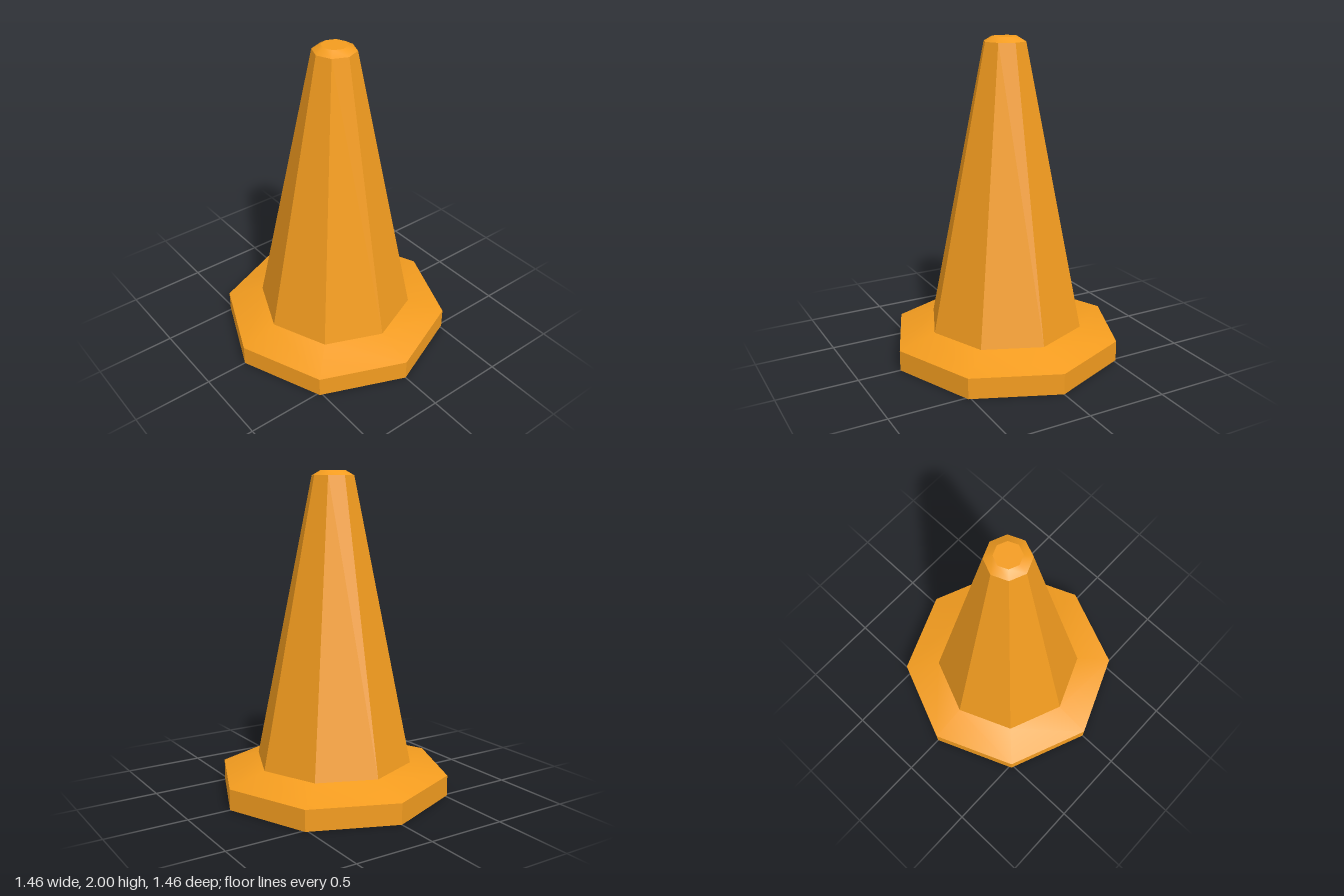
import * as THREE from 'three';
import { toCreasedNormals } from 'three/addons/utils/BufferGeometryUtils.js';

const SIDES = 8;
const material = new THREE.MeshStandardMaterial({ color: 0xf39c1f });

// Turns a [radius, height] profile into an eight-sided part
function turned(name, profile) {
  const points = profile.map(([r, y]) => new THREE.Vector2(r, y));
  const geometry = toCreasedNormals(new THREE.LatheGeometry(points, SIDES), Math.PI / 6);
  const mesh = new THREE.Mesh(geometry, material);
  mesh.name = name;
  return mesh;
}

export function createModel() {
  const group = new THREE.Group();
  group.name = 'trafficCone';

  // Octagonal foot: sloped underside, flat rim, upright edge, sloped top
  group.add(turned('base', [[0.395, 0.16], [0.585, 0], [0.73, 0], [0.73, 0.13], [0.495, 0.2]]));

  // Tapered body with a bevelled, flat tip
  group.add(turned('coneBody', [[0.495, 0.2], [0.132, 1.97], [0.08, 2], [0, 2]]));

  // Hollow inside, closed just below the tip
  group.add(turned('innerHollow', [[0, 1.88], [0.05, 1.88], [0.395, 0.16]]));

  return group;
}
